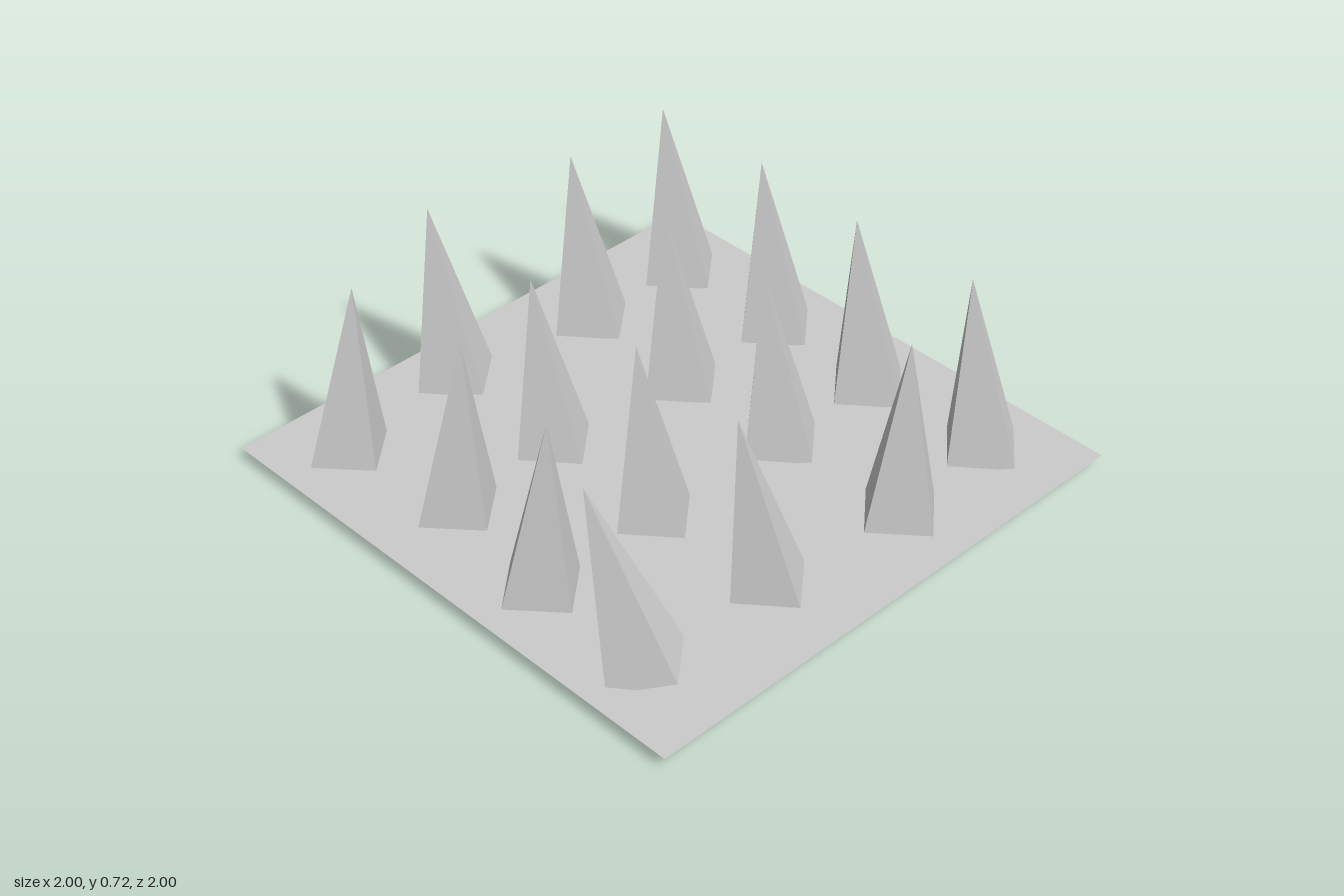
import * as THREE from 'three';

const SPIKE_HEIGHT = 0.675;
const SPIKE_RADIUS = 0.157;
const GROUND_Y = 0.051;

// One row per spike: base x, base z, tip x, tip y, tip z
const SPIKES = [
  [-0.749, -0.751, -0.711, 0.7, -0.714],
  [-0.235, -0.813, -0.267, 0.72, -0.869],
  [0.318, -0.73, 0.289, 0.715, -0.783],
  [0.751, -0.73, 0.722, 0.715, -0.783],
  [-0.687, -0.275, -0.674, 0.721, -0.233],
  [-0.241, -0.307, -0.267, 0.69, -0.366],
  [0.289, -0.251, 0.267, 0.715, -0.307],
  [0.751, -0.254, 0.722, 0.715, -0.307],
  [-0.757, 0.2, -0.749, 0.715, 0.243],
  [-0.262, 0.19, -0.283, 0.7, 0.136],
  [0.297, 0.209, 0.262, 0.715, 0.152],
  [0.725, 0.209, 0.695, 0.715, 0.152],
  [-0.767, 0.676, -0.861, 0.7, 0.521],
  [-0.238, 0.671, -0.321, 0.7, 0.612],
  [0.307, 0.73, 0.31, 0.72, 0.735],
  [0.746, 0.693, 0.711, 0.715, 0.634],
];

export function createModel() {
  const group = new THREE.Group();
  group.name = 'spikeTrap';
  const material = new THREE.MeshStandardMaterial({
    color: 0xcccccc, flatShading: true, side: THREE.DoubleSide,
  });

  // Thin square ground sheet
  const ground = new THREE.Mesh(new THREE.PlaneGeometry(2, 2).rotateX(-Math.PI / 2), material);
  ground.name = 'ground';
  ground.position.y = GROUND_Y;
  group.add(ground);

  // Four-sided spikes, open underneath, with the base centre at the origin
  const spikeGeometry = new THREE.ConeGeometry(SPIKE_RADIUS, SPIKE_HEIGHT, 4, 1, true)
    .translate(0, SPIKE_HEIGHT / 2, 0)
    .rotateY(-0.07);
  const up = new THREE.Vector3(0, 1, 0);

  // Each spike leans from its base towards its tip
  SPIKES.forEach(([baseX, baseZ, tipX, tipY, tipZ], i) => {
    const dx = tipX - baseX;
    const dz = tipZ - baseZ;
    const rise = Math.sqrt(SPIKE_HEIGHT ** 2 - dx * dx - dz * dz);
    const spike = new THREE.Mesh(spikeGeometry, material);
    spike.name = `spike${i + 1}`;
    spike.position.set(baseX, tipY - rise, baseZ);
    spike.quaternion.setFromUnitVectors(up, new THREE.Vector3(dx, rise, dz).normalize());
    group.add(spike);
  });

  return group;
}
